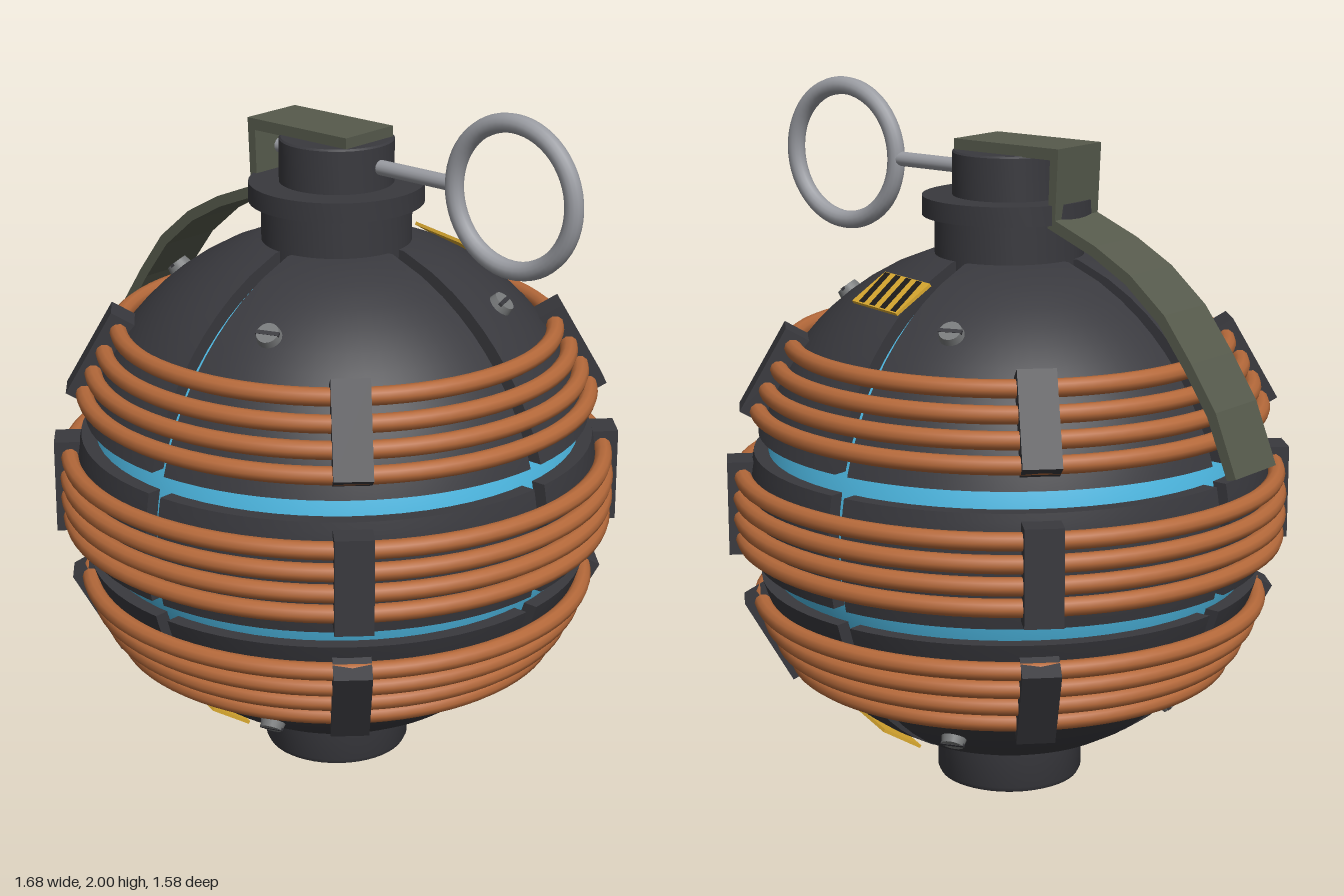
import * as THREE from 'three';
import { toCreasedNormals } from 'three/addons/utils/BufferGeometryUtils.js';

const CY = 0.84, R = 0.745, CORE = 0.705, GAP = 0.022;

export function createModel() {
  const model = new THREE.Group();
  model.name = 'coiledGrenade';

  const mat = (name, color) => {
    const m = new THREE.MeshStandardMaterial({ color });
    m.name = name;
    return m;
  };
  const dark = mat('dark casing', 0x39393e);
  const blue = mat('glowing blue', 0x4db8e2);
  const copper = mat('copper', 0xb5693a);
  const olive = mat('olive lever', 0x565a4c);
  const steel = mat('steel', 0x999ba1);
  const screwGrey = mat('screw grey', 0x77797a);
  const yellow = mat('warning yellow', 0xd9a82f);
  const black = mat('warning black', 0x1e1c1a);

  const add = (name, geo, material, parent = model) => {
    const mesh = new THREE.Mesh(geo, material);
    mesh.name = name;
    parent.add(mesh);
    return mesh;
  };

  // Group on the sphere: local z points outward, x runs along the latitude
  const onSphere = (name, azimuth, elevation, radius) => {
    const g = new THREE.Group();
    g.name = name;
    g.rotation.set(-elevation, azimuth, 0, 'YXZ');
    const c = Math.cos(elevation) * radius;
    g.position.set(Math.sin(azimuth) * c, CY + Math.sin(elevation) * radius, Math.cos(azimuth) * c);
    model.add(g);
    return g;
  };

  // Glowing core seen through the grooves
  add('core', new THREE.SphereGeometry(CORE, 64, 40), blue).position.y = CY;

  // One quarter of a shell band, with its outermost rows folded in as groove walls
  const shellPanel = (y0, y1) => {
    const nu = 20, nv = 14, pos = [], index = [];
    for (let i = 0; i <= nu; i++) {
      const t = THREE.MathUtils.clamp((i - 1) / (nu - 2), 0, 1);
      for (let j = 0; j <= nv; j++) {
        const s = THREE.MathUtils.clamp((j - 1) / (nv - 2), 0, 1);
        const y = y0 + (y1 - y0) * s, dy = y - CY;
        const edge = i === 0 || i === nu || j === 0 || j === nv;
        const rad = edge ? CORE - 0.005 : R;
        const r = Math.sqrt(Math.max(rad * rad - dy * dy, 0.0025));
        const a = Math.asin(GAP / r);
        const th = a + (Math.PI / 2 - 2 * a) * t;
        pos.push(r * Math.cos(th), y, r * Math.sin(th));
        if (i < nu && j < nv) {
          const k = i * (nv + 1) + j, n = k + nv + 1;
          index.push(k, k + 1, n, k + 1, n + 1, n);
        }
      }
    }
    const g = new THREE.BufferGeometry();
    g.setAttribute('position', new THREE.Float32BufferAttribute(pos, 3));
    g.setIndex(index);
    return toCreasedNormals(g, 0.6);
  };
  for (const [y0, y1] of [[0.13, 0.63], [0.68, 0.995], [1.05, 1.55]]) {
    const geo = shellPanel(y0, y1);
    for (let q = 0; q < 4; q++) add('shellPanel', geo, dark).rotation.y = q * Math.PI / 2;
  }

  // Turned neck, collar and cap, and the foot
  const lathe = (pts) =>
    toCreasedNormals(new THREE.LatheGeometry(pts.map(p => new THREE.Vector2(...p)), 48), 0.6);
  add('neck', lathe([
    [0.21, 1.48], [0.21, 1.66], [0.245, 1.66], [0.245, 1.715],
    [0.16, 1.715], [0.16, 1.835], [0.155, 1.84], [0, 1.84],
  ]), dark);
  add('foot', lathe([
    [0, 0.004], [0.19, 0.004], [0.203, 0.01], [0.21, 0.024], [0.21, 0.19],
  ]), dark);
  add('footLight', new THREE.CylinderGeometry(0.12, 0.12, 0.008, 40), blue).position.y = 0.004;

  // Three bands of four copper windings, each held by four clips
  const clipGeo = new THREE.BoxGeometry(0.105, 0.27, 0.075);
  for (const band of [-0.37, 0, 0.37]) {
    for (let k = 0; k < 4; k++) {
      const dy = band + (k - 1.5) * 0.06;
      const ring = add('copperWinding',
        new THREE.TorusGeometry(Math.sqrt(0.768 ** 2 - dy * dy), 0.025, 10, 80), copper);
      ring.rotation.x = Math.PI / 2;
      ring.position.y = CY + dy;
    }
    const elevation = Math.asin(band * 1.03 / 0.768);
    for (let q = 0; q < 4; q++) {
      add('clip', clipGeo, dark, onSphere('coilClip', Math.PI / 4 + q * Math.PI / 2, elevation, 0.7675));
    }
  }

  // Slotted screws above and below the windings
  const headGeo = new THREE.CylinderGeometry(0.031, 0.037, 0.03, 20).rotateX(Math.PI / 2);
  for (const side of [1, -1]) {
    for (let q = 0; q < 4; q++) {
      const g = onSphere('screw', 0.35 + q * Math.PI / 2, side * 0.867, R + 0.005);
      add('screwHead', headGeo, screwGrey, g);
      add('screwSlot', new THREE.BoxGeometry(0.066, 0.012, 0.008), dark, g).position.z = 0.012;
    }
  }

  // Warning plates with slanted stripes
  const stripes = [0, 1, 2, 3].map(k => {
    const x = -0.105 + k * 0.052;
    return new THREE.Shape([
      new THREE.Vector2(x, 0.062), new THREE.Vector2(x + 0.027, -0.062),
      new THREE.Vector2(x + 0.054, -0.062), new THREE.Vector2(x + 0.027, 0.062),
    ].reverse());
  });
  const stripeGeo = new THREE.ShapeGeometry(stripes);
  for (const [azimuth, elevation] of [[2.87, 1.013], [-0.4, -1.03], [2.68, -1.03]]) {
    const g = onSphere('warningPlate', azimuth, elevation, R + 0.006);
    add('plate', new THREE.BoxGeometry(0.22, 0.13, 0.009), yellow, g);
    add('stripes', stripeGeo, black, g).position.z = 0.006;
  }

  // Safety lever: a bent strip extruded across its width
  const outer = [[0.12, 1.87], [-0.245, 1.87], [-0.235, 1.675], [-0.37, 1.62], [-0.487, 1.555],
    [-0.6, 1.46], [-0.69, 1.34], [-0.77, 1.22], [-0.838, 1.05]];
  const inner = [[-0.81, 1.042], [-0.743, 1.206], [-0.666, 1.322], [-0.58, 1.436],
    [-0.472, 1.528], [-0.358, 1.592], [-0.21, 1.652], [-0.217, 1.838], [0.12, 1.838]];
  const leverShape = new THREE.Shape([...outer, ...inner].map(p => new THREE.Vector2(...p)));
  const lever = add('safetyLever',
    new THREE.ExtrudeGeometry(leverShape, { depth: 0.194, bevelEnabled: false }), olive);
  lever.position.z = -0.097;

  // Pull pin and ring
  const pin = add('pin', new THREE.CylinderGeometry(0.021, 0.021, 0.63, 16), steel);
  pin.rotation.z = Math.PI / 2;
  pin.position.set(0.095, 1.778, 0);
  add('pullRing', new THREE.TorusGeometry(0.197, 0.026, 14, 56), steel).position.set(0.615, 1.777, 0);

  return model;
}
